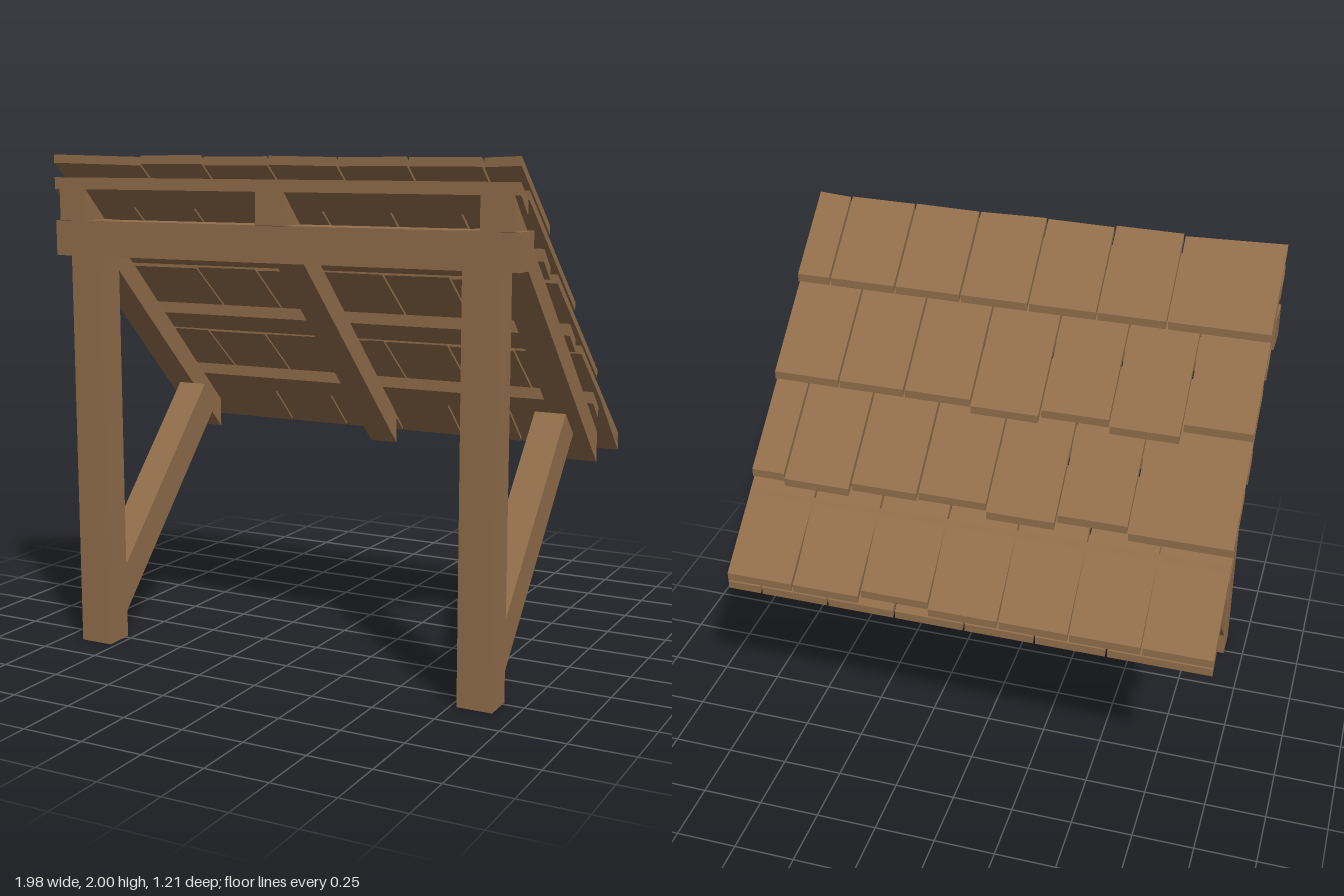
import * as THREE from 'three';

const wood = new THREE.MeshStandardMaterial({ color: 0x916e4b });
wood.name = 'timber brown';

// Extrudes a side profile of [z, y] points from x0 to x1
function profile(points, x0, x1) {
  const shape = new THREE.Shape(points.map(([z, y]) => new THREE.Vector2(-z, y)));
  const g = new THREE.ExtrudeGeometry(shape, { depth: x1 - x0, bevelEnabled: false });
  return g.rotateY(Math.PI / 2).translate(x0, 0, 0);
}

// Sloping board with upright ends: top edge from (zf, yf) to (zb, yb), h thick
const board = (x0, x1, [zf, yf], [zb, yb], h) =>
  profile([[zf, yf], [zb, yb], [zb, yb - h], [zf, yf - h]], x0, x1);

function add(group, geometry, name) {
  const mesh = new THREE.Mesh(geometry, wood);
  mesh.name = name;
  group.add(mesh);
}

const box = (x0, x1, y0, y1, z0, z1) =>
  new THREE.BoxGeometry(x1 - x0, y1 - y0, z1 - z0)
    .translate((x0 + x1) / 2, (y0 + y1) / 2, (z0 + z1) / 2);

export function createModel() {
  const model = new THREE.Group();
  model.name = 'leanToRoof';

  let seed = 7;
  const rand = () => (seed = (seed * 16807) % 2147483647) / 2147483647;

  // Posts and diagonal braces, one of each per side
  for (const [side, s] of [['left', 1], ['right', -1]]) {
    const span = (a, b) => (s > 0 ? [a, b] : [-b, -a]);
    add(model, box(...span(0.775, 0.915), 0, 1.742, 0.483, 0.606), side + 'Post');
    add(model, profile([[0.485, 0.3], [-0.15, 0.985], [-0.246, 0.89], [0.485, 0.1]],
      ...span(0.78, 0.91)), side + 'Brace');
  }

  // Front beam
  add(model, box(-0.99, 0.99, 1.6, 1.74, 0.47, 0.603), 'frontBeam');

  // Rafters
  for (const [x0, x1] of [[-0.967, -0.84], [-0.063, 0.06], [0.84, 0.967]]) {
    add(model, board(x0, x1, [0.605, 1.865], [-0.38, 0.88], 0.125), 'rafter');
  }

  // Purlins lying across the rafters
  for (const [z, y] of [[0.605, 1.91], [0.365, 1.67], [0.06, 1.37], [-0.245, 1.065]]) {
    add(model, board(-0.99, 0.99, [z, y], [z - 0.07, y - 0.07], 0.046), 'purlin');
  }

  // Shingle courses from the top down; drops shift each shingle's lower end
  const even = [-0.995, -0.58, -0.295, -0.01, 0.278, 0.56, 0.845, 0.992];
  const odd = [-0.995, -0.715, -0.43, -0.148, 0.14, 0.425, 0.708, 0.992];
  const courses = [
    { seams: even, top: [0.605, 2.0], low: [0.303, 1.75], drops: [0, 0, 0, 0, 0, 0, 0] },
    { seams: odd, top: [0.525, 1.885], low: [0, 1.447], drops: [0.02, -0.02, 0, -0.02, 0, 0, 0] },
    { seams: even, top: [0.217, 1.575], low: [-0.29, 1.153],
      drops: [-0.015, 0.005, -0.02, 0.005, 0, -0.02, -0.005] },
    { seams: odd, top: [-0.085, 1.272], low: [-0.605, 0.84], drops: [0, 0, 0, 0, 0.02, 0, 0] },
    { seams: even, top: [-0.315, 1.085], low: [-0.605, 0.8], drops: [0, 0, 0, 0, 0, 0, 0] },
  ];
  courses.forEach(({ seams, top, low, drops }, row) => {
    const course = new THREE.Group();
    course.name = 'shingleCourse' + (row + 1);
    const slope = (top[1] - low[1]) / (top[0] - low[0]);
    drops.forEach((d, i) => {
      const x0 = seams[i] + 0.004, x1 = seams[i + 1] - 0.004;
      const g = board(x0, x1, top, [low[0] + d, low[1] + d * slope], 0.033);
      // Uneven upper edge: pull each top corner slightly down the slope
      const pull = [rand() * 0.012, rand() * 0.012];
      const p = g.attributes.position;
      for (let k = 0; k < p.count; k++) {
        if (Math.abs(p.getZ(k) - top[0]) > 1e-4) continue;
        const c = pull[p.getX(k) > (x0 + x1) / 2 ? 1 : 0];
        p.setZ(k, p.getZ(k) - c);
        p.setY(k, p.getY(k) - c * slope);
      }
      g.computeVertexNormals();
      add(course, g, 'shingle');
    });
    model.add(course);
  });

  return model;
}
